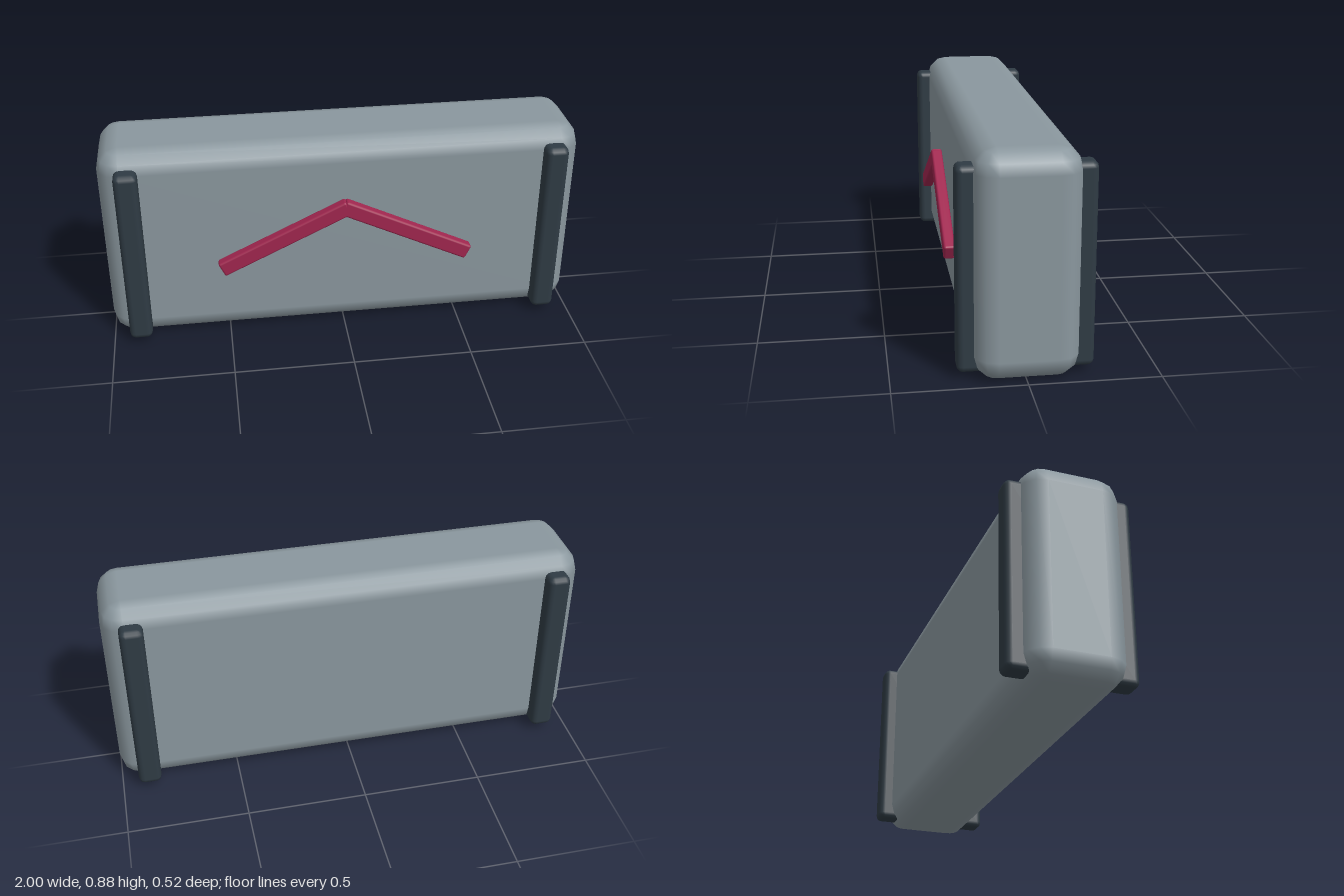
import * as THREE from 'three';

// Box with edges rounded in three steps: a sphere whose octants are pushed out to the corners
function bevelledBox(w, h, d, r) {
  const geo = new THREE.SphereGeometry(1, 16, 9);
  const pos = geo.attributes.position, nor = geo.attributes.normal;
  const hx = w / 2 - r, hy = h / 2 - r, hz = d / 2 - r;
  const step = Math.PI / 6;
  for (let j = 0; j <= 9; j++) {
    for (let i = 0; i <= 16; i++) {
      const k = j * 17 + i;
      const up = j < 5 ? 1 : -1;
      if (j === 0 || j === 9) {
        // centre of the top or bottom face
        pos.setXYZ(k, 0, up * h / 2, 0);
        nor.setXYZ(k, 0, up, 0);
        continue;
      }
      const col = i % 16, quad = Math.floor(col / 4);
      const theta = (quad * 3 + (col % 4)) * step;
      const phi = (j < 5 ? j - 1 : j - 2) * step;
      const nx = -Math.cos(theta) * Math.sin(phi);
      const ny = Math.cos(phi);
      const nz = Math.sin(theta) * Math.sin(phi);
      const sx = quad === 0 || quad === 3 ? -1 : 1;
      const sz = quad < 2 ? 1 : -1;
      pos.setXYZ(k, sx * hx + nx * r, up * hy + ny * r, sz * hz + nz * r);
      nor.setXYZ(k, nx, ny, nz);
    }
  }
  return geo;
}

export function createModel() {
  const model = new THREE.Group();
  model.name = 'cushionBlock';
  const shell = new THREE.MeshStandardMaterial({ color: 0x8a979e });
  const dark = new THREE.MeshStandardMaterial({ color: 0x2f3b44 });
  const red = new THREE.MeshStandardMaterial({ color: 0xa0264f });

  const add = (name, geo, mat, x, y, z) => {
    const mesh = new THREE.Mesh(geo, mat);
    mesh.name = name;
    mesh.position.set(x, y, z);
    model.add(mesh);
    return mesh;
  };

  // Main slab
  add('body', bevelledBox(2, 0.875, 0.4, 0.09), shell, 0, 0.4375, -0.003);

  for (const [side, s] of [['left', 1], ['right', -1]]) {
    // Upright bands standing out at front and back
    add(side + 'Band', bevelledBox(0.096, 0.787, 0.515, 0.025), dark, s * 0.883, 0.418, -0.003);

    // Sloping bar, half of the chevron on the front
    const bar = add(side + 'ChevronBar', bevelledBox(0.595, 0.066, 0.045, 0.009), red, s * 0.257, 0.476, 0.238);
    bar.rotation.z = -s * 0.45;
  }
  return model;
}
